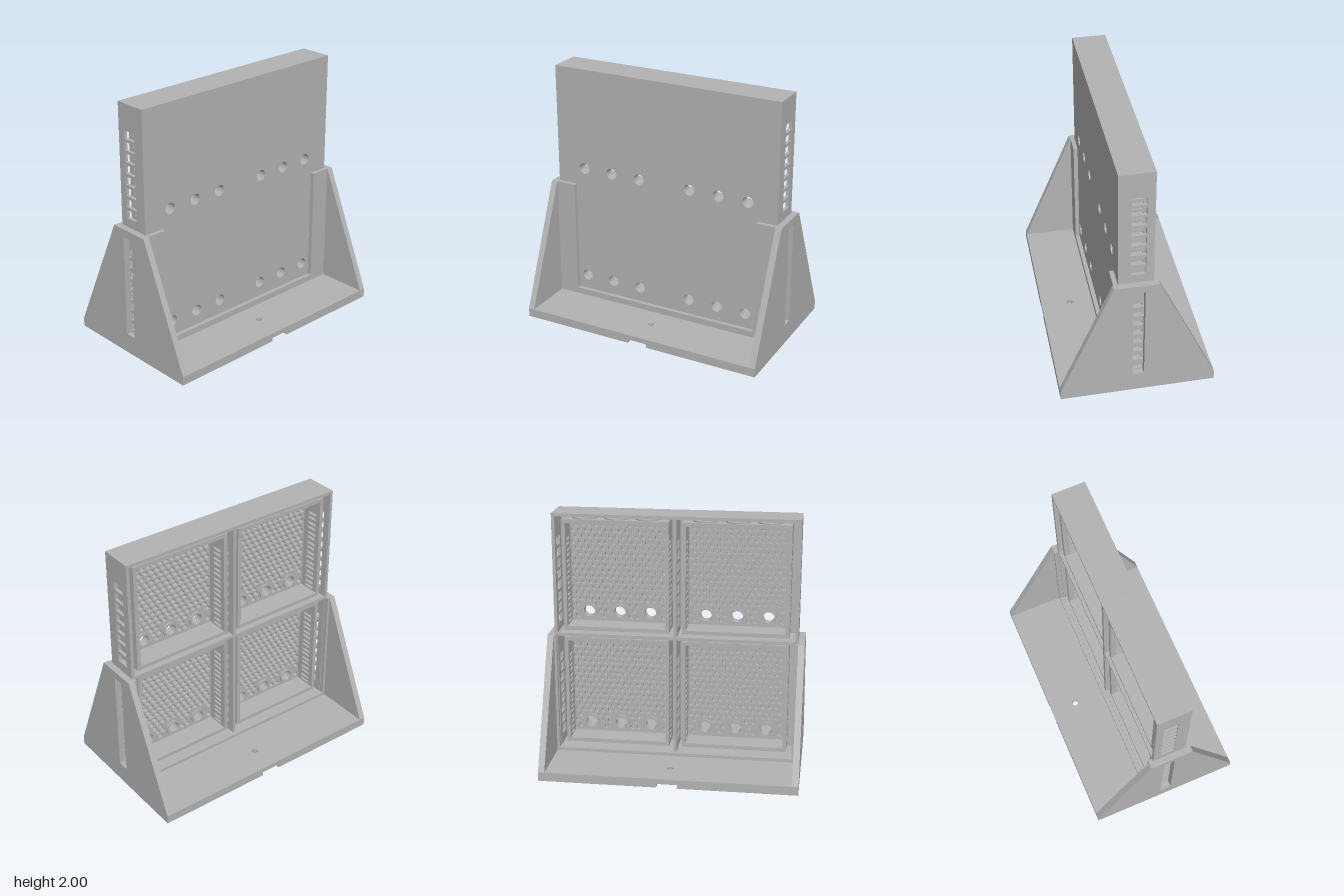
import * as THREE from 'three';

const rect = (x0, y0, x1, y1, T = THREE.Shape) => {
  const s = new T();
  s.moveTo(x0, y0); s.lineTo(x1, y0); s.lineTo(x1, y1); s.lineTo(x0, y1); s.closePath();
  return s;
};
const hole = (x0, y0, x1, y1) => rect(x0, y0, x1, y1, THREE.Path);
const circle = (x, y, r) => {
  const p = new THREE.Path();
  p.absarc(x, y, r, 0, Math.PI * 2, true);
  return p;
};
const hexagon = (x, y, r) => {
  const p = new THREE.Path();
  for (let i = 0; i < 6; i++) {
    const a = Math.PI / 6 - i * Math.PI / 3, px = x + r * Math.cos(a), py = y + r * Math.sin(a);
    if (i) p.lineTo(px, py); else p.moveTo(px, py);
  }
  p.closePath();
  return p;
};
// Extrude an outline with holes along +z
const extrude = (shape, holes, depth) => {
  shape.holes.push(...holes);
  return new THREE.ExtrudeGeometry(shape, { depth, bevelEnabled: false, curveSegments: 10 });
};
// Upright plate in the yz plane, outline given as (-z, y)
const sidePlate = (shape, holes, x, thick) => extrude(shape, holes, thick).rotateY(Math.PI / 2).translate(x - thick / 2, 0, 0);
// Flat plate in the xz plane, outline given as (x, z)
const floorPlate = (shape, holes, top, thick) => extrude(shape, holes, thick).rotateX(Math.PI / 2).translate(0, top, 0);

export function createModel() {
  const model = new THREE.Group();
  const grey = new THREE.MeshStandardMaterial({ color: 0xb3b3b3 });
  grey.name = 'plain grey';
  const add = (parent, name, geo) => {
    const m = new THREE.Mesh(geo, grey);
    m.name = name;
    parent.add(m);
    return m;
  };
  const box = (parent, name, x0, x1, y0, y1, z0, z1) =>
    add(parent, name, new THREE.BoxGeometry(x1 - x0, y1 - y0, z1 - z0)
      .translate((x0 + x1) / 2, (y0 + y1) / 2, (z0 + z1) / 2));

  const cellX = 0.465, cellY = [0.57, 1.51];
  const holeX = [-0.245, 0, 0.245], holeY = -0.33;
  const ventY = [];
  for (let i = 0; i < 8; i++) ventY.push(-0.365 + i * 0.0886);

  // Stand: base plate, foot pockets and cable groove
  const stand = new THREE.Group();
  stand.name = 'stand';
  model.add(stand);
  add(stand, 'basePlate', floorPlate(rect(-0.95, -0.6, 0.95, 0.6),
    [circle(0, -0.39, 0.025), circle(0, 0.37, 0.025), circle(0.46, 0, 0.035), circle(-0.46, 0, 0.035)], 0.07, 0.04));
  for (const s of [-1, 1]) {
    add(stand, 'baseUnderside', floorPlate(s > 0 ? rect(0.08, -0.6, 0.95, 0.6) : rect(-0.95, -0.6, -0.08, 0.6),
      [circle(s * 0.87, -0.47, 0.055), circle(s * 0.87, 0.47, 0.055), circle(s * 0.46, 0, 0.035)], 0.03, 0.03));

    // Tapered side plate with a tall slot
    const side = new THREE.Shape([[-0.6, 0], [0.6, 0], [0.6, 0.07], [0.15, 1.04], [-0.19, 1.04], [-0.6, 0.07]]
      .map(p => new THREE.Vector2(...p)));
    add(stand, 'sidePlate', sidePlate(side, [hole(-0.045, 0.16, 0.045, 0.98)], s * 0.975, 0.05));

    // Flanges gripping the case
    const [f0, f1] = s > 0 ? [0.79, 0.95] : [-0.95, -0.79];
    box(stand, 'frontFlange', f0, f1, 0.07, 1.04, 0.151, 0.185);
    const [b0, b1] = s > 0 ? [0.93, 0.95] : [-0.95, -0.93];
    box(stand, 'backFlange', b0, b1, 0.07, 1.04, -0.15, -0.116);
  }
  box(stand, 'frontLip', -0.79, 0.79, 0.07, 0.12, 0.151, 0.185);
  box(stand, 'backLip', -0.93, 0.93, 0.07, 0.095, -0.15, -0.116);

  // Case: front wall, outer walls and dividers
  const caseGroup = new THREE.Group();
  caseGroup.name = 'case';
  model.add(caseGroup);
  const frontHoles = [], ventHoles = [];
  for (const cy of cellY) {
    for (const s of [-1, 1]) for (const hx of holeX) frontHoles.push([s * cellX + hx, cy + holeY]);
    for (const v of ventY) ventHoles.push(cy + v);
  }
  add(caseGroup, 'frontWall', extrude(rect(-0.95, 0.07, 0.95, 2),
    frontHoles.map(([x, y]) => circle(x, y, 0.045)), 0.025).translate(0, 0, 0.125));
  for (const x of [-0.9375, 0, 0.9375])
    add(caseGroup, x ? 'caseSide' : 'middleDivider', sidePlate(rect(-0.125, 0.07, 0.115, 2),
      ventHoles.map(y => hole(-0.055, y - 0.0325, 0.055, y + 0.0325)), x, 0.025));
  for (const s of [-1, 1]) {
    const [x0, x1] = s > 0 ? [0.0125, 0.925] : [-0.925, -0.0125];
    box(caseGroup, 'caseBottom', x0, x1, 0.07, 0.095, -0.115, 0.125);
    box(caseGroup, 'shelfDivider', x0, x1, 1.025, 1.05, -0.115, 0.125);
    box(caseGroup, 'caseTop', x0, x1, 1.975, 2, -0.115, 0.125);
  }

  // Shared parts of the four inner modules
  const W = 0.415, H = 0.44, t = 0.03;
  const slits = [];
  for (const v of ventY) for (const d of [-0.02, 0.02])
    slits.push(hole(-0.045, v + d - 0.011, 0.045, v + d + 0.011));
  const wallGeo = sidePlate(rect(-0.125, -H, 0.09, H), slits, 0, t);

  const cells = holeX.map(x => circle(x, holeY, 0.045));
  const stepX = 0.053, stepY = 0.046;
  for (let r = 0; r < 17; r++) for (let c = 0; c < 14; c++) {
    const x = (c - 6.75 + (r % 2) * 0.5) * stepX, y = (r - 8) * stepY;
    if (holeX.every(h => Math.hypot(x - h, y - holeY) > 0.088)) cells.push(hexagon(x, y, 0.024));
  }
  const meshGeo = extrude(rect(-W + t, -H + t, W - t, H - t), cells, 0.035).translate(0, 0, 0.09);

  const ring = new THREE.Shape();
  ring.absarc(0, 0, 0.062, 0, Math.PI * 2, false);
  const bossGeo = extrude(ring, [circle(0, 0, 0.045)], 0.015).translate(0, holeY, 0.075);
  const discGeo = new THREE.CylinderGeometry(0.1, 0.1, t + 0.02, 28).translate(0, H - t / 2, 0.015);

  for (const cy of cellY) for (const s of [-1, 1]) {
    const unit = new THREE.Group();
    unit.name = 'module';
    unit.position.set(s * cellX, cy, 0);
    model.add(unit);
    add(unit, 'honeycombPanel', meshGeo);
    for (const k of [-1, 1]) add(unit, 'louveredWall', wallGeo).position.x = k * (W - t / 2);
    box(unit, 'moduleTop', -W + t, W - t, H - t, H, -0.09, 0.125);
    box(unit, 'moduleBottom', -W + t, W - t, -H, -H + t, -0.09, 0.125);
    for (const hx of holeX) {
      add(unit, 'holeCollar', bossGeo).position.x = hx;
      add(unit, 'topDisc', discGeo).position.x = hx;
    }
  }
  return model;
}
